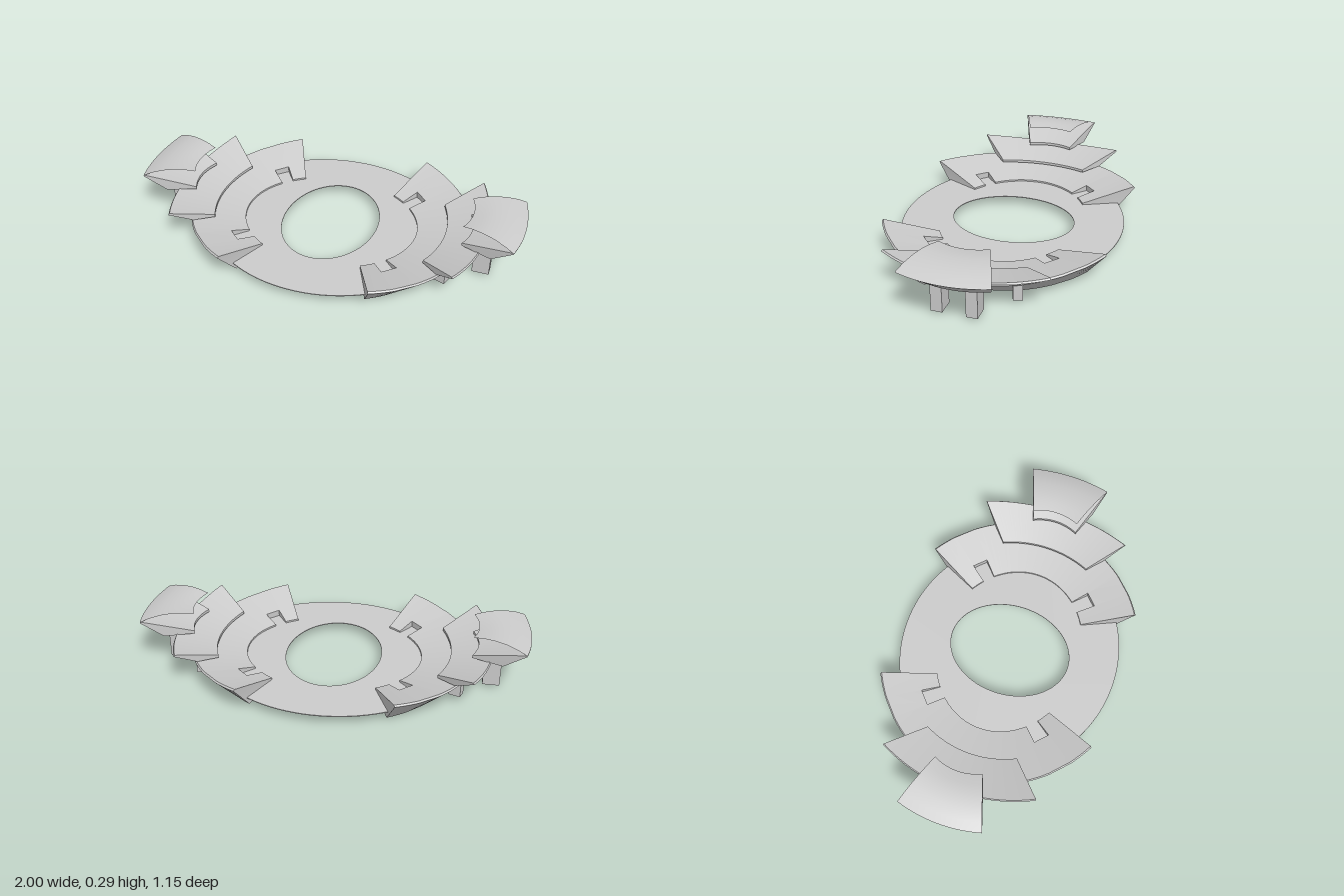
import * as THREE from 'three';
import { toCreasedNormals } from 'three/addons/utils/BufferGeometryUtils.js';

const material = new THREE.MeshStandardMaterial({ color: 0xcccccc });
const thinMaterial = new THREE.MeshStandardMaterial({ color: 0xcccccc, side: THREE.DoubleSide });

// A rail is an elliptical arc: [middle x, middle y, end x, end y, end z].
function railPoint([mx, my, ex, ey, ez], s) {
  const end = Math.acos(ex / mx);
  const a = s * end;
  return new THREE.Vector3(mx * Math.cos(a), my + (ey - my) * s * s, (ez / Math.sin(end)) * Math.sin(a));
}

// Skin a list of cross-sections; solid ones are closed and capped at both ends.
function skin(sections, solid) {
  const pos = [];
  const tri = (...pts) => pts.forEach((p) => pos.push(p.x, p.y, p.z));
  const n = sections[0].length;
  for (let i = 0; i < sections.length - 1; i++) {
    const A = sections[i], B = sections[i + 1];
    for (let j = 0; j < (solid ? n : n - 1); j++) {
      const k = (j + 1) % n;
      tri(A[j], A[k], B[j]);
      tri(A[k], B[k], B[j]);
    }
  }
  if (solid) {
    const first = sections[0], last = sections[sections.length - 1];
    for (let j = 1; j < n - 1; j++) {
      tri(last[0], last[j], last[j + 1]);
      tri(first[0], first[j + 1], first[j]);
    }
  }
  const geo = new THREE.BufferGeometry();
  geo.setAttribute('position', new THREE.Float32BufferAttribute(pos, 3));
  return toCreasedNormals(geo, 0.5);
}

// Rails run counter-clockwise: inner top, inner bottom, keel, outer low, outer top.
function blade(rails, notch) {
  const stations = [];
  for (let i = 0; i <= 40; i++) stations.push([-1 + i / 20, false]);
  if (notch) {
    const [a, b] = notch;
    const kept = stations.filter(([s]) => Math.abs(s) < a || Math.abs(s) > b);
    for (const [lo, hi] of [[-b, -a], [a, b]]) {
      kept.push([lo, false], [lo, true], [hi, true], [hi, false]);
    }
    stations.splice(0, stations.length, ...kept.sort((p, q) => p[0] - q[0]));
  }
  const sections = stations.map(([s, cut]) => {
    const p = rails.map((r) => railPoint(r, s));
    if (cut) {
      p[0].lerp(p[4], 0.35);
      p[1].lerp(p[2], 0.58);
    }
    return p;
  });
  return skin(sections, true);
}

function add(parent, name, geo, mat = material) {
  const mesh = new THREE.Mesh(geo, mat);
  mesh.name = name;
  parent.add(mesh);
  return mesh;
}

function createWing() {
  const wing = new THREE.Group();

  // Wide lower blade with two notches in its inner edge
  add(wing, 'lowerBlade', blade([
    [0.46, 0.065, 0.26, 0.065, 0.312],
    [0.46, 0.045, 0.26, 0.045, 0.312],
    [0.62, 0.004, 0.335, 0.01, 0.475],
    [0.74, 0.105, 0.38, 0.142, 0.573],
    [0.735, 0.114, 0.375, 0.15, 0.567],
  ], [0.66, 0.82]));

  // Middle blade
  add(wing, 'middleBlade', blade([
    [0.61, 0.118, 0.555, 0.125, 0.24],
    [0.61, 0.104, 0.555, 0.11, 0.24],
    [0.715, 0.09, 0.64, 0.125, 0.32],
    [0.82, 0.162, 0.73, 0.192, 0.402],
    [0.815, 0.17, 0.725, 0.2, 0.398],
  ]));

  // Upper blade
  add(wing, 'upperBlade', blade([
    [0.745, 0.185, 0.715, 0.185, 0.122],
    [0.745, 0.17, 0.715, 0.17, 0.122],
    [0.9, 0.168, 0.865, 0.168, 0.175],
    [1.0, 0.25, 0.97, 0.256, 0.215],
    [0.995, 0.255, 0.966, 0.262, 0.213],
  ]));

  // Thin curved cover rising from the outer rim of the upper blade
  const coverRails = [
    [1.0, 0.254, 0.97, 0.261, 0.215],
    [0.955, 0.274, 0.925, 0.279, 0.199],
    [0.9, 0.288, 0.872, 0.292, 0.18],
    [0.84, 0.294, 0.812, 0.297, 0.158],
    [0.79, 0.292, 0.762, 0.294, 0.14],
    [0.74, 0.283, 0.712, 0.285, 0.122],
  ];
  const cover = [];
  for (let i = 0; i <= 24; i++) cover.push(coverRails.map((r) => railPoint(r, -1 + i / 12)));
  add(wing, 'upperCover', skin(cover, false), thinMaterial);

  // Mounting pegs
  for (const side of [-1, 1]) {
    const longPeg = add(wing, 'longPeg', new THREE.BoxGeometry(0.085, 0.16, 0.055));
    longPeg.position.set(0.82, 0.095, side * 0.083);
    const shortPeg = add(wing, 'shortPeg', new THREE.BoxGeometry(0.06, 0.1, 0.045));
    shortPeg.position.set(0.65, 0.07, side * 0.226);
    shortPeg.rotation.y = -side * 0.33;
  }
  return wing;
}

export function createModel() {
  const model = new THREE.Group();

  // Flat oval base ring
  const oval = new THREE.Shape().absellipse(0, 0, 0.645, 0.577, 0, Math.PI * 2);
  oval.holes.push(new THREE.Path().absellipse(0, 0, 0.25, 0.323, 0, Math.PI * 2, true));
  const ring = new THREE.ExtrudeGeometry(oval, { depth: 0.004, bevelEnabled: false, curveSegments: 64 });
  ring.rotateX(-Math.PI / 2);
  add(model, 'baseRing', ring).position.y = 0.052;

  // Two matching wings
  const left = createWing();
  left.name = 'leftWing';
  const right = createWing();
  right.name = 'rightWing';
  right.rotation.y = Math.PI;
  model.add(left, right);
  return model;
}
